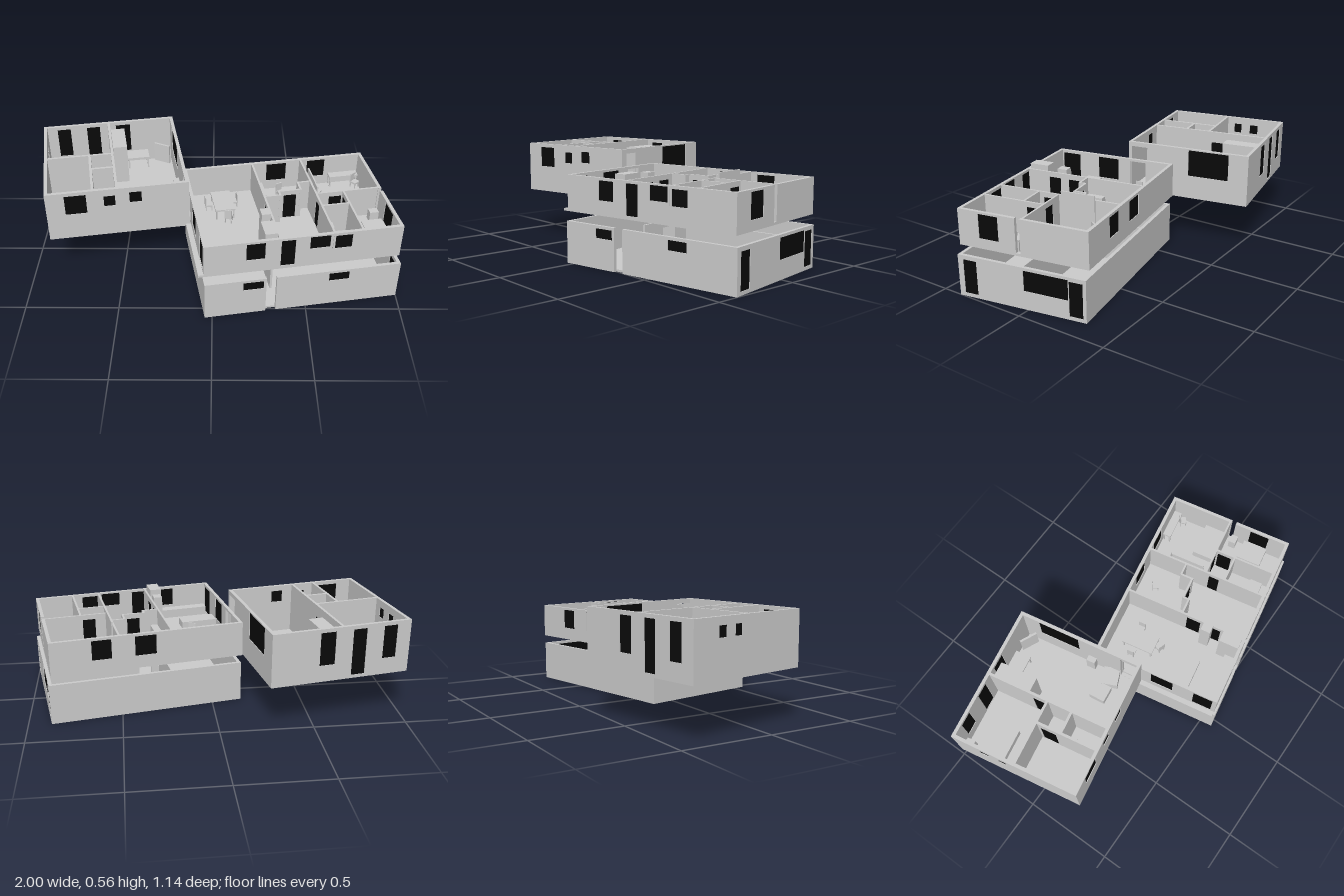
import * as THREE from 'three';

const grey = new THREE.MeshStandardMaterial({ color: 0xcccccc, flatShading: true });
const black = new THREE.MeshStandardMaterial({ color: 0x0a0a0a });
const T = 0.018; // outer wall thickness

function box(parent, name, x0, x1, y0, y1, z0, z1, mat = grey) {
  const m = new THREE.Mesh(new THREE.BoxGeometry(x1 - x0, y1 - y0, z1 - z0), mat);
  m.position.set((x0 + x1) / 2, (y0 + y1) / 2, (z0 + z1) / 2);
  m.name = name;
  parent.add(m);
  return m;
}

// Wall along x or z, centred on pos. Holes: [start, end, bottom, top, leaveOpen]
function wall(parent, name, axis, pos, a, b, y0, y1, holes = [], t = T) {
  const g = new THREE.Group();
  g.name = name;
  const rect = (p, l, r, d, u) => p.moveTo(l, d).lineTo(r, d).lineTo(r, u).lineTo(l, u).closePath();
  const shape = rect(new THREE.Shape(), a, b, y0, y1);
  for (const [l, r, d, u, open] of holes) {
    shape.holes.push(rect(new THREE.Path(), l, r, d, u));
    if (!open) box(g, 'windowPane', l, r, d, u, -t * 0.3, t * 0.3, black);
  }
  const geo = new THREE.ExtrudeGeometry(shape, { depth: t, bevelEnabled: false });
  geo.translate(0, 0, -t / 2);
  const m = new THREE.Mesh(geo, grey);
  m.name = name + 'Panel';
  g.add(m);
  if (axis === 'z') {
    g.rotation.y = -Math.PI / 2;
    g.position.x = pos;
  } else g.position.z = pos;
  parent.add(g);
}

// Furniture block: centre, footprint, floor level, height, optional turn
function block(parent, name, x, z, w, d, floor, h, turn = 0) {
  box(parent, name, x - w / 2, x + w / 2, floor, floor + h, z - d / 2, z + d / 2).rotation.y = turn;
}

function chair(parent, x, z, floor, turn) {
  const g = new THREE.Group();
  g.name = 'chair';
  box(g, 'chairSeat', -0.02, 0.02, 0.028, 0.038, -0.02, 0.02);
  box(g, 'chairBack', -0.02, 0.02, 0.038, 0.085, -0.02, -0.014);
  for (const sx of [-1, 1]) for (const sz of [-1, 1])
    block(g, 'chairLeg', sx * 0.016, sz * 0.016, 0.005, 0.005, 0, 0.028);
  g.position.set(x, floor, z);
  g.rotation.y = turn;
  parent.add(g);
}

function table(parent, x, z, w, d, floor, h) {
  box(parent, 'tableTop', x - w / 2, x + w / 2, floor + h - 0.01, floor + h, z - d / 2, z + d / 2);
  for (const sx of [-1, 1]) for (const sz of [-1, 1])
    block(parent, 'tableLeg', x + sx * (w / 2 - 0.008), z + sz * (d / 2 - 0.008), 0.008, 0.008, floor, h - 0.01);
}

function lowerFloor() {
  const g = new THREE.Group();
  g.name = 'lowerFloor';
  const [x0, x1, z0, z1, h] = [-0.138, 0.918, -0.158, 0.556, 0.225];
  const e = T / 2;
  box(g, 'lowerFloorSlab', x0 + T, x1 - T, 0, 0.012, z0 + T, z1 - T);
  // front wall in two parts with an entrance gap
  wall(g, 'frontWallLeft', 'x', z1 - e, x0, 0.19, 0, h, [[0.067, 0.176, 0.16, 0.21]]);
  wall(g, 'frontWallRight', 'x', z1 - e, 0.245, x1, 0, h, [[0.528, 0.638, 0.16, 0.21]]);
  wall(g, 'backWall', 'x', z0 + e, x0, x1, 0, h);
  wall(g, 'leftWall', 'z', x0 + e, z0, z1, 0, h);
  wall(g, 'rightWall', 'z', x1 - e, z0, z1, 0, h,
    [[-0.141, -0.066, 0.018, 0.203], [-0.062, 0.182, 0.1, 0.21], [0.449, 0.526, 0.018, 0.203]]);
  // partitions
  wall(g, 'partition', 'z', 0.255, z0, 0.4, 0.01, h, [[0.15, 0.25, 0.013, 0.19, true]], 0.012);
  wall(g, 'partition', 'x', 0.19, 0.255, x1 - T, 0.01, h, [[0.3, 0.37, 0.013, 0.19, true]], 0.012);
  return g;
}

function middleFloor() {
  const g = new THREE.Group();
  g.name = 'middleFloor';
  const [x0, x1, z0, z1, b, h] = [-0.14, 0.904, -0.171, 0.545, 0.275, 0.468];
  const e = T / 2, f = 0.288;
  box(g, 'middleFloorSlab', x0, x1, b, f, z0, z1);
  box(g, 'sideLedge', -0.168, x0, b, f, 0.105, z1);
  // outer walls
  wall(g, 'frontWall', 'x', z1 - e, x0, x1, b, h, [[0.08, 0.178, 0.353, 0.455],
    [0.259, 0.335, 0.294, 0.455], [0.411, 0.518, 0.385, 0.46], [0.531, 0.634, 0.37, 0.452]]);
  wall(g, 'backWall', 'x', z0 + e, x0, x1, b, h, [[0.34, 0.455, 0.345, 0.455], [0.58, 0.685, 0.345, 0.455]]);
  wall(g, 'leftWall', 'z', x0 + e, z0, z1, b, h,
    [[-0.01, 0.085, f + 0.002, 0.455, true], [0.16, 0.288, 0.33, 0.455], [0.41, 0.52, 0.294, 0.452]]);
  wall(g, 'rightWallBack', 'z', x1 - e, z0, 0.197, b, h);
  wall(g, 'rightWallFront', 'z', x1 - e, 0.222, z1, b, h, [[0.317, 0.428, 0.328, 0.457]]);
  // partitions: axis, position, start, end, doors
  const door = (l, r) => [l, r, f + 0.002, 0.44];
  const parts = [
    ['z', 0.255, z0, z1, [door(0.2, 0.28), door(0.33, 0.4)]],
    ['z', 0.538, z0, z1, [door(0.21, 0.27)]],
    ['x', 0.187, 0.538, x1, [door(0.61, 0.68)]],
    ['z', 0.69, 0.187, z1, [door(0.2, 0.28)]],
    ['x', 0.3, 0.538, 0.69, []],
    ['x', 0.168, 0.255, 0.342, []],
    ['z', 0.342, 0.132, 0.174, []],
    ['x', 0.134, 0.342, 0.465, [door(0.37, 0.44)]],
    ['z', 0.465, 0.067, 0.14, []],
    ['x', 0.067, 0.465, 0.538, []],
  ];
  for (const [axis, p, a, c, doors] of parts) wall(g, 'partition', axis, p, a, c, f, h, doors, 0.011);
  // living room
  table(g, 0.055, 0.01, 0.11, 0.18, f, 0.065);
  chair(g, -0.022, -0.01, f, Math.PI / 2);
  chair(g, 0.125, -0.02, f, -Math.PI / 2);
  chair(g, 0.07, 0.12, f, 2.7);
  block(g, 'lowTable', -0.02, 0.315, 0.21, 0.09, f, 0.04);
  block(g, 'sofaBench', 0.045, 0.497, 0.32, 0.055, f, 0.05);
  block(g, 'tallCabinet', 0.21, 0.473, 0.065, 0.11, f, 0.207);
  block(g, 'slimCabinet', 0.222, 0.328, 0.048, 0.055, f, 0.2);
  // bedrooms and study
  block(g, 'cabinet', 0.287, -0.07, 0.05, 0.13, f, 0.06);
  block(g, 'cabinet', 0.282, 0.11, 0.04, 0.1, f, 0.09);
  chair(g, 0.405, -0.06, f, 0.4);
  block(g, 'wallScreen', 0.55, 0.07, 0.008, 0.19, f, 0.206);
  table(g, 0.795, -0.13, 0.17, 0.05, f, 0.07);
  chair(g, 0.86, -0.09, f, 0.6);
  chair(g, 0.615, -0.03, f, 0.9);
  block(g, 'bed', 0.79, 0.11, 0.2, 0.12, f, 0.045);
  block(g, 'bed', 0.83, 0.365, 0.12, 0.14, f, 0.045);
  block(g, 'bedsideCabinet', 0.86, 0.235, 0.05, 0.04, f, 0.06);
  block(g, 'bathtub', 0.61, 0.46, 0.12, 0.07, f, 0.045);
  block(g, 'washstand', 0.575, 0.335, 0.05, 0.05, f, 0.07);
  return g;
}

function sideWing() {
  const g = new THREE.Group();
  g.name = 'sideWing';
  const [x0, x1, z0, z1, b, h] = [-0.908, -0.146, -0.606, 0.105, 0.275, 0.565];
  const e = T / 2, f = 0.288;
  box(g, 'wingFloorSlab', x0, x1, b, f, z0, z1);
  // outer walls
  wall(g, 'frontWall', 'x', z1 - e, x0, x1, b, h, [[-0.808, -0.694, 0.428, 0.545],
    [-0.602, -0.542, 0.46, 0.524], [-0.466, -0.401, 0.47, 0.535]]);
  wall(g, 'backWall', 'x', z0 + e, x0, x1, b, h, [[-0.832, -0.756, 0.365, 0.545],
    [-0.66, -0.584, 0.292, 0.545], [-0.489, -0.405, 0.365, 0.545]]);
  wall(g, 'leftWall', 'z', x0 + e, z0, z1, b, h, [[-0.45, -0.4, 0.47, 0.525], [-0.345, -0.3, 0.47, 0.525]]);
  wall(g, 'rightWall', 'z', x1 - e, z0, z1, b, h,
    [[-0.493, -0.26, 0.408, 0.558], [-0.01, 0.085, f + 0.002, 0.54, true]]);
  // partitions
  const door = (l, r) => [l, r, f + 0.002, 0.5];
  wall(g, 'partition', 'z', -0.53, z0, z1, f, h, [door(-0.34, -0.27)], 0.014);
  wall(g, 'partition', 'x', -0.25, x0, -0.53, f, h, [], 0.014);
  wall(g, 'partition', 'z', -0.657, -0.25, z1, f, h, [door(-0.23, -0.14)], 0.014);
  wall(g, 'partition', 'x', -0.11, -0.657, -0.53, f, h, [], 0.014);
  // furniture
  block(g, 'bed', -0.8, -0.44, 0.2, 0.16, f, 0.05);
  block(g, 'bedsideCabinet', -0.87, -0.565, 0.04, 0.05, f, 0.07);
  block(g, 'bedsideCabinet', -0.87, -0.32, 0.04, 0.04, f, 0.07);
  block(g, 'tallWardrobe', -0.48, -0.47, 0.08, 0.21, f, 0.24);
  table(g, -0.37, -0.54, 0.13, 0.09, f, 0.075);
  block(g, 'cornerShelf', -0.22, -0.55, 0.1, 0.012, f, 0.12, -0.6);
  block(g, 'sideCabinet', -0.178, -0.18, 0.035, 0.05, f, 0.1);
  block(g, 'armchair', -0.31, -0.065, 0.09, 0.09, f, 0.05, -0.05);
  block(g, 'armchair', -0.21, -0.05, 0.1, 0.09, f, 0.055, 0.25);
  block(g, 'dresser', -0.87, 0.03, 0.03, 0.11, f, 0.1);
  block(g, 'lowCabinet', -0.77, 0.07, 0.05, 0.03, f, 0.06);
  block(g, 'washstand', -0.63, -0.07, 0.04, 0.035, f, 0.08);
  return g;
}

export function createModel() {
  const model = new THREE.Group();
  model.name = 'houseFloors';
  const plan = new THREE.Group();
  plan.name = 'turnedPlan';
  plan.rotation.y = THREE.MathUtils.degToRad(10);
  plan.add(lowerFloor(), middleFloor(), sideWing());
  model.add(plan);
  return model;
}
